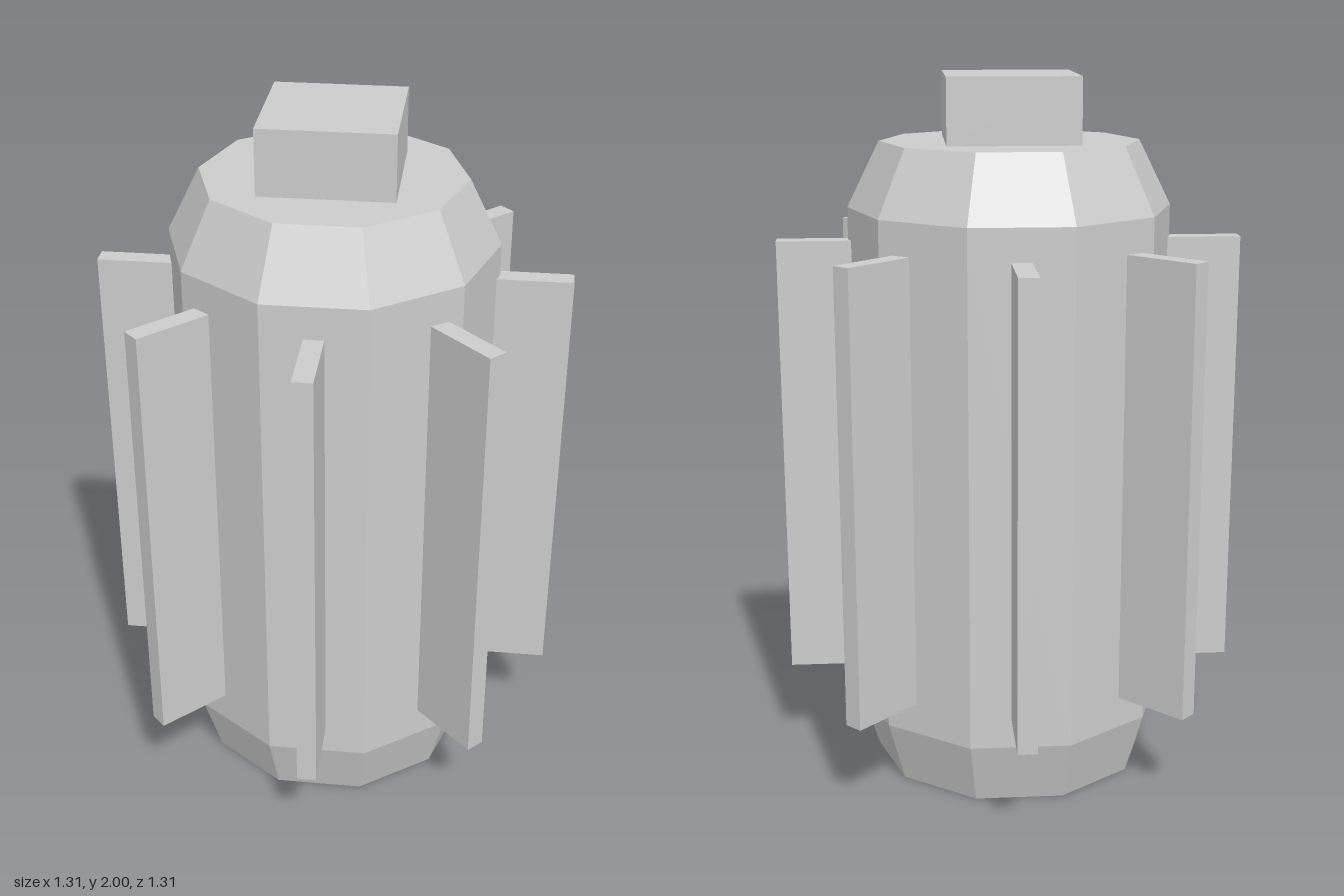
import * as THREE from 'three';

const SIDES = 10;
const FINS = 8;

export function createModel() {
  const model = new THREE.Group();
  model.name = 'finnedCanister';

  const grey = new THREE.MeshStandardMaterial({ color: 0xcccccc, flatShading: true, side: THREE.DoubleSide });
  grey.name = 'light grey';

  function add(name, geometry) {
    const mesh = new THREE.Mesh(geometry, grey);
    mesh.name = name;
    model.add(mesh);
    return mesh;
  }

  // Ten-sided shell: tapered foot, straight wall, sloped shoulder, flat top; open underneath
  const profile = [[0.4, 0], [0.4545, 0.182], [0.4545, 1.636], [0.3636, 1.818], [0, 1.818]]
    .map(([r, y]) => new THREE.Vector2(r, y));
  const shell = new THREE.LatheGeometry(profile, SIDES, Math.PI / SIDES).toNonIndexed();
  shell.computeVertexNormals();
  add('body', shell);

  // Square cap block
  add('capBlock', new THREE.BoxGeometry(0.364, 0.182, 0.364)).position.y = 1.909;

  // Radial fins around the wall
  const inner = 0.434, outer = 0.6545;
  const finGeometry = new THREE.BoxGeometry(outer - inner, 1.273, 0.0545);
  finGeometry.translate((inner + outer) / 2, 0.909, 0);
  for (let i = 0; i < FINS; i++) {
    add(`fin${i + 1}`, finGeometry).rotation.y = (i * 2 * Math.PI) / FINS;
  }

  return model;
}
